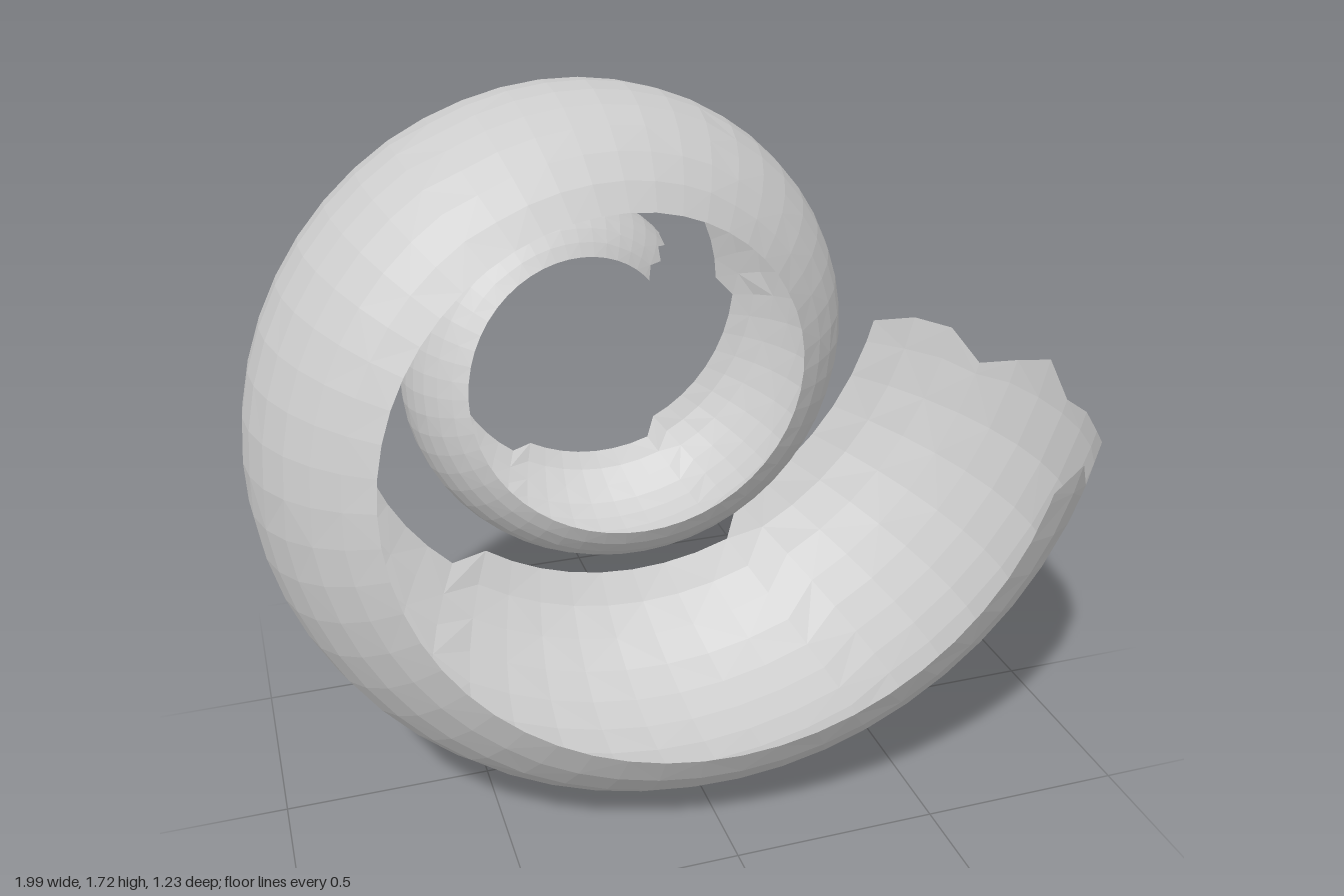
import * as THREE from 'three';

const SEGMENTS = 96, COLUMNS = 12;
const LENGTH = THREE.MathUtils.degToRad(678);
const SAW = THREE.MathUtils.degToRad(59);
// Uneven break at the wide mouth and at the narrow tip, in radians of travel
const MOUTH = [0.09, 0.045, 0.14, 0.07, 0.085, 0.08, 0.09, 0.03, 0.065, 0.105, 0.035, 0.025, 0.05];
const TIP = [0.05, 0.12, 0.03, 0.1, 0.02, 0.08, 0.03, 0.06, 0, 0.05, 0.02, 0.08, 0];

// A point on the shell: t travels along the spiral, u runs from front rim (0) to back rim (1)
function shellPoint(t, u) {
  const crest = 1.158 * Math.exp(-0.101 * t);
  const tube = 0.49 * crest;
  // The back rim widens slowly, then breaks back in a step
  const saw = ((t + 0.05) / SAW) % 1;
  const back = THREE.MathUtils.degToRad(62 + 9 * saw);
  const front = THREE.MathUtils.degToRad(66);
  const phi = -front + (front + back) * u;
  const r = crest - tube * (1 - Math.cos(phi));
  return [
    -0.15 + r * Math.cos(t),
    0.995 - r * Math.sin(t),
    0.12 - 0.0477 * t - tube * Math.sin(phi),
  ];
}

export function createModel() {
  const positions = [], index = [];
  for (let i = 0; i <= SEGMENTS; i++) {
    for (let j = 0; j <= COLUMNS; j++) {
      let t = (i / SEGMENTS) * LENGTH;
      if (i === 0) t = MOUTH[j];
      else if (i === 1) t = Math.max(t, MOUTH[j] + 0.03);
      else if (i === SEGMENTS) t -= TIP[j];
      positions.push(...shellPoint(t, j / COLUMNS));
    }
  }
  // Alternate the diagonals for a faceted surface
  const row = COLUMNS + 1;
  for (let i = 0; i < SEGMENTS; i++) {
    for (let j = 0; j < COLUMNS; j++) {
      const a = i * row + j, b = a + 1, c = a + row, d = c + 1;
      if ((i + j) % 2) index.push(a, b, c, b, d, c);
      else index.push(a, b, d, a, d, c);
    }
  }
  const geometry = new THREE.BufferGeometry();
  geometry.setAttribute('position', new THREE.Float32BufferAttribute(positions, 3));
  geometry.setIndex(index);
  geometry.computeVertexNormals();

  const shell = new THREE.Mesh(geometry, new THREE.MeshStandardMaterial({
    color: 0xcccccc, flatShading: true, side: THREE.DoubleSide,
  }));
  shell.name = 'spiralShell';

  const model = new THREE.Group();
  model.name = 'brokenSpiralShell';
  model.add(shell);
  return model;
}
